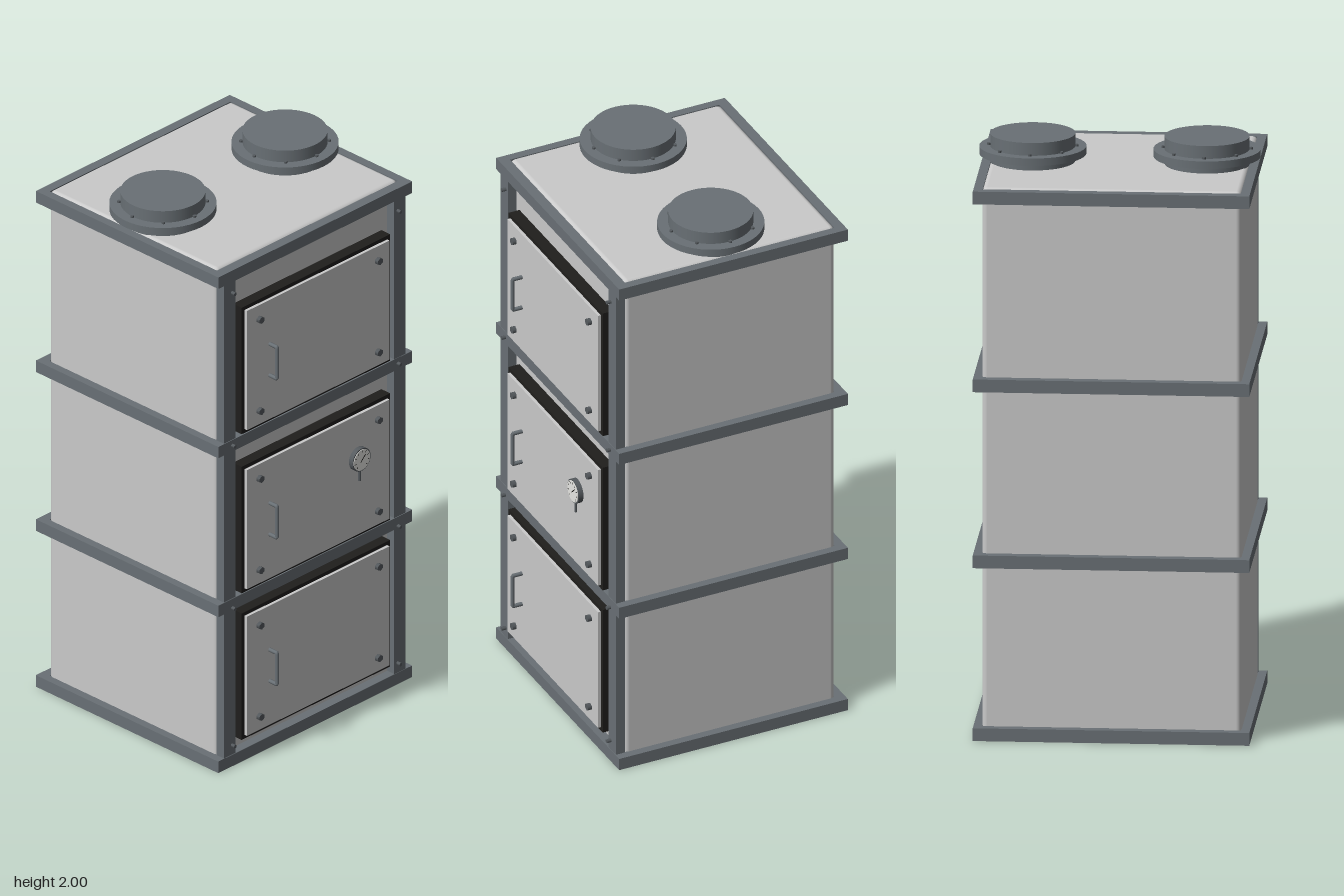
import * as THREE from 'three';
import { RoundedBoxGeometry } from 'three/addons/geometries/RoundedBoxGeometry.js';

const mat = (name, color) => {
  const m = new THREE.MeshStandardMaterial({ color });
  m.name = name;
  return m;
};

export function createModel() {
  const root = new THREE.Group();
  root.name = 'stackedCabinet';
  const panel = mat('lightGreyPanel', 0xcacaca);
  const steel = mat('slateSteel', 0x697075);
  const rubber = mat('blackGasket', 0x1f1e1c);
  const bolt = mat('boltGrey', 0x565b5f);
  const dial = mat('dialWhite', 0xe8e8e4);

  const add = (name, geo, material, x, y, z, parent = root) => {
    const m = new THREE.Mesh(geo, material);
    m.name = name;
    m.position.set(x, y, z);
    parent.add(m);
    return m;
  };
  const box = (w, h, d) => new THREE.BoxGeometry(w, h, d);
  // cylinder lying along z
  const disc = (r, d, n = 32) => new THREE.CylinderGeometry(r, r, d, n).rotateX(Math.PI / 2);

  // Main body with softened edges
  add('body', new RoundedBoxGeometry(0.872, 1.905, 0.788, 4, 0.018), panel, 0, 0.9525, -0.031);

  // Rectangular bands around the body
  const rect = (C, x, z0, z1) => {
    const s = new C();
    s.moveTo(-x, z0);
    s.lineTo(x, z0);
    s.lineTo(x, z1);
    s.lineTo(-x, z1);
    s.closePath();
    return s;
  };
  const ring = (h) => {
    const s = rect(THREE.Shape, 0.465, -0.398, 0.458);
    s.holes.push(rect(THREE.Path, 0.434, -0.361, 0.423));
    return new THREE.ExtrudeGeometry(s, { depth: h, bevelEnabled: false }).rotateX(-Math.PI / 2);
  };
  for (const y of [0, 0.598, 1.207, 1.857]) add('band', ring(0.044), steel, 0, y, 0);

  // Front corner posts: a wide flange with a raised inner lip, and bolts
  for (const s of [-1, 1]) {
    add('post', box(0.055, 1.86, 0.034), steel, s * 0.4085, 0.94, 0.379);
    for (const y of [0.08, 0.607, 1.23, 1.815])
      add('postBolt', disc(0.007, 0.016, 6), bolt, s * 0.397, y, 0.404);
  }

  // Doors with gasket, bolts and handle
  const handleCurve = new THREE.CurvePath();
  const pts = [[-0.06, 0], [-0.06, 0.037], [0.06, 0.037], [0.06, 0]].map(([y, z]) => new THREE.Vector3(0, y, z));
  for (let i = 0; i < 3; i++) handleCurve.add(new THREE.LineCurve3(pts[i], pts[i + 1]));
  const handleGeo = new THREE.TubeGeometry(handleCurve, 48, 0.007, 10);

  for (const y of [0.33, 0.8925, 1.5025]) {
    const door = new THREE.Group();
    door.name = 'door';
    door.position.set(-0.003, y, 0);
    root.add(door);
    add('gasket', box(0.712, 0.485, 0.042), rubber, 0, 0, 0.383, door);
    add('doorPanel', box(0.684, 0.457, 0.012), panel, 0, 0, 0.409, door);
    for (const sx of [-1, 1])
      for (const sy of [-1, 1])
        add('doorBolt', disc(0.013, 0.014, 6), bolt, sx * 0.284, sy * 0.175, 0.422, door);
    add('handle', handleGeo, steel, -0.233, 0, 0.413, door);
  }

  // Thermometer on the middle door
  const gauge = new THREE.Group();
  gauge.name = 'thermometer';
  gauge.position.set(0.187, 0.957, 0.415);
  root.add(gauge);
  add('gaugeCase', disc(0.043, 0.018), bolt, 0, 0, 0.009, gauge);
  add('gaugeFace', disc(0.039, 0.003), dial, 0, 0, 0.0185, gauge);
  for (let i = 0; i < 9; i++) {
    const a = -Math.PI / 4 + (i * Math.PI * 1.5) / 8;
    const tick = add('gaugeTick', box(0.008, 0.002, 0.001), rubber, Math.cos(a) * 0.032, Math.sin(a) * 0.032, 0.0202, gauge);
    tick.rotation.z = a;
  }
  add('gaugeNeedle', box(0.034, 0.003, 0.001), rubber, 0.005, 0.005, 0.0204, gauge).rotation.z = Math.PI / 4;
  add('gaugeStem', new THREE.CylinderGeometry(0.005, 0.005, 0.045, 10), bolt, 0, -0.0605, 0.008, gauge);

  // Flanged duct collars on the roof
  for (const s of [-1, 1]) {
    const collar = new THREE.Group();
    collar.name = 'ductCollar';
    collar.position.set(s * 0.293, 0, -0.03);
    root.add(collar);
    add('neck', new THREE.CylinderGeometry(0.143, 0.143, 0.097, 48), steel, 0, 1.9515, 0, collar);
    add('flange', new THREE.CylinderGeometry(0.18, 0.18, 0.026, 48), steel, 0, 1.943, 0, collar);
    for (let i = 0; i < 8; i++) {
      const a = (i * Math.PI) / 4;
      add('flangeBolt', new THREE.CylinderGeometry(0.006, 0.006, 0.04, 8), bolt, Math.cos(a) * 0.148, 1.943, Math.sin(a) * 0.148, collar);
    }
  }
  return root;
}
